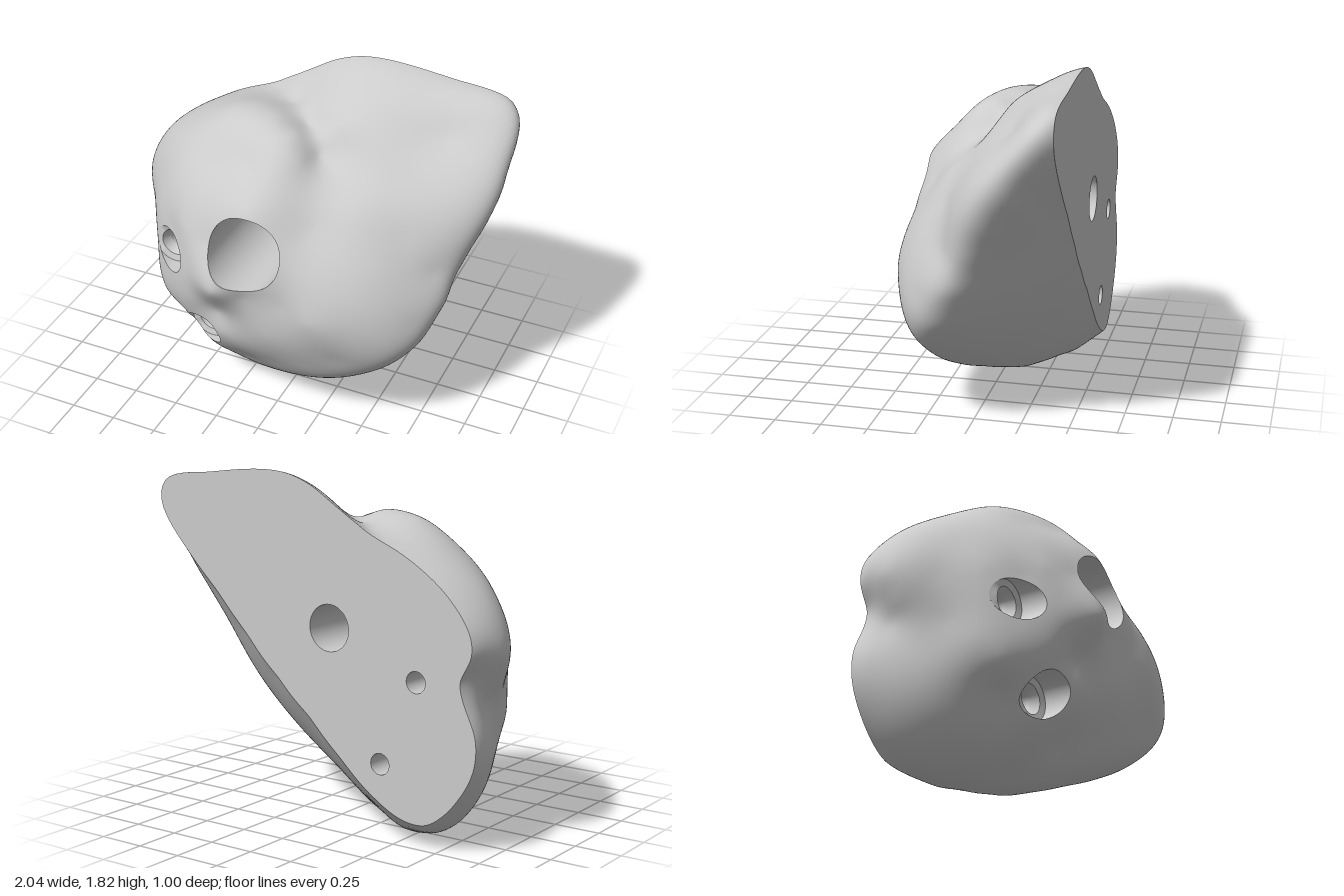
import * as THREE from 'three';

const BACK = -0.5;
const CENTRE = [-0.15, 1.0, BACK];

// Outline of the flat back face (x, y)
const backOutline = [
  [0.985, 1.57], [0.998, 1.68], [0.945, 1.75], [0.68, 1.785], [0.4, 1.815], [0.14, 1.805], [-0.01, 1.75],
  [-0.1, 1.695], [-0.18, 1.645], [-0.28, 1.585], [-0.41, 1.515], [-0.66, 1.39], [-0.85, 1.23], [-0.94, 1.08],
  [-0.94, 0.99], [-0.88, 0.875], [-0.9, 0.775], [-0.965, 0.63], [-0.96, 0.45], [-0.88, 0.3], [-0.78, 0.19],
  [-0.68, 0.13], [-0.54, 0.14], [-0.38, 0.225], [-0.18, 0.39], [0.02, 0.58], [0.22, 0.76], [0.42, 0.96],
  [0.62, 1.17], [0.82, 1.37],
];

// Widest line round the stone (x, y, z)
const girth = [
  [0.987, 1.47, -0.42], [0.965, 1.3, -0.31], [0.94, 1.15, -0.2], [0.905, 1.0, -0.07], [0.865, 0.82, 0.03],
  [0.77, 0.6, 0.1], [0.6, 0.42, 0.11], [0.4, 0.28, 0.08], [0.2, 0.18, 0.03], [0, 0.095, -0.03],
  [-0.2, 0.025, -0.13], [-0.34, 0.01, -0.2], [-0.36, 0.06, -0.01], [-0.44, 0.05, -0.36], [-0.5, 0.03, -0.2],
  [-0.7, 0.115, -0.2], [-0.85, 0.25, -0.25], [-0.95, 0.42, -0.35], [-0.97, 0.58, -0.4],
  [-0.91, 0.745, -0.32], [-0.95, 0.83, -0.25], [-1.0, 0.97, -0.3], [-0.97, 1.12, -0.3], [-0.85, 1.29, -0.25],
  [-0.65, 1.44, -0.2], [-0.4, 1.58, -0.15],
];

// Head lobe, snout and jaw on the right half
const lobe = [
  [-0.3, 1.55, -0.43], [-0.15, 1.565, -0.3], [0, 1.545, -0.15], [0.12, 1.46, -0.02], [-0.26, 1.597, -0.18],
  [-0.14, 1.605, -0.1], [0, 1.57, -0.01], [0.07, 1.49, 0.08], [-0.11, 1.27, 0.37], [-0.2, 1.45, 0.17],
  [-0.4, 1.4, 0.14], [-0.45, 1.25, 0.25], [-0.65, 1.3, 0.07], [-0.8, 1.15, 0], [-0.75, 1.0, 0.13],
  [-0.5, 1.05, 0.32], [-0.33, 1.05, 0.39], [-0.45, 0.88, 0.38], [-0.25, 0.83, 0.5], [-0.11, 0.8, 0.43],
  [-0.6, 0.97, 0.25], [-0.76, 0.84, 0.14], [-0.88, 0.95, -0.05], [-0.65, 0.71, 0.25], [-0.84, 0.71, -0.03],
  [-0.78, 0.6, 0.11], [-0.69, 0.5, 0.19], [-0.57, 0.46, 0.24], [-0.88, 0.61, -0.15], [-0.83, 0.48, -0.05],
  [-0.72, 0.39, 0.05], [-0.58, 0.36, 0.13], [-0.45, 0.62, 0.36], [-0.3, 0.6, 0.35], [-0.28, 0.47, 0.36],
  [-0.42, 0.25, 0.2], [-0.62, 0.25, 0.04], [-0.2, 0.22, 0.2],
];

// Broad smooth body on the left half
const body = [
  [0, 0.3, 0.28], [0.2, 0.4, 0.34], [0.4, 0.5, 0.36], [0, 0.55, 0.4], [0.1, 0.8, 0.42], [0.27, 0.75, 0.45],
  [0.45, 0.7, 0.41], [0.6, 0.65, 0.35], [0.75, 0.76, 0.23], [0.3, 1.0, 0.38], [0.1, 1.05, 0.4],
  [0.06, 1.32, 0.27], [0.2, 1.2, 0.27], [0.55, 1.05, 0.26], [0.8, 1.0, 0.08], [0.65, 1.2, 0.1],
  [0.4, 1.3, 0.15], [0.4, 1.55, -0.09], [0.2, 1.6, -0.12], [0.08, 1.63, -0.2], [-0.01, 1.67, -0.34],
  [0.62, 1.42, -0.03], [0.72, 1.6, -0.25], [0.25, 1.74, -0.31], [0.5, 1.72, -0.3],
];

// Bolt holes: each profile step below the rim is [radius, z]
const holes = [
  { name: 'largeBoltHole', x: -0.11, y: 1.05, steps: [[0.2, -0.1], [0.12, -0.1], [0.12, BACK]] },
  { name: 'upperBoltHole', x: -0.63, y: 0.84, steps: [[0.115, 0.19], [0.08, 0.18], [0.055, 0.13], [0.055, BACK]] },
  { name: 'lowerBoltHole', x: -0.42, y: 0.4, steps: [[0.115, 0.19], [0.08, 0.18], [0.055, 0.13], [0.055, BACK]] },
];

function solve(A, b) {
  const n = b.length;
  for (let c = 0; c < n; c++) {
    let p = c;
    for (let r = c + 1; r < n; r++) if (Math.abs(A[r][c]) > Math.abs(A[p][c])) p = r;
    [A[c], A[p]] = [A[p], A[c]];
    [b[c], b[p]] = [b[p], b[c]];
    for (let r = c + 1; r < n; r++) {
      const f = A[r][c] / A[c][c];
      for (let k = c; k < n; k++) A[r][k] -= f * A[c][k];
      b[r] -= f * b[c];
    }
  }
  for (let c = n - 1; c >= 0; c--) {
    for (let k = c + 1; k < n; k++) b[c] -= A[c][k] * b[k];
    b[c] /= A[c][c];
  }
  return b;
}

// Smooth radius over all directions; fitting 1/radius keeps flat flanks flat
function fitRadius(points) {
  const samples = points.map(([x, y, z = BACK]) => {
    const d = [x - CENTRE[0], y - CENTRE[1], z - CENTRE[2]];
    const r = Math.hypot(...d);
    return { d: d.map((v) => v / r), inv: 1 / r };
  });
  const kernel = (a, b) => {
    const q = (a[0] - b[0]) ** 2 + (a[1] - b[1]) ** 2 + (a[2] - b[2]) ** 2;
    return q < 1e-12 ? 0 : 0.5 * q * Math.log(q);
  };
  const n = samples.length;
  const A = samples.map((s, i) => [
    ...samples.map((t, j) => kernel(s.d, t.d) + (i === j ? 0.002 : 0)), 1, ...s.d]);
  for (let k = 0; k < 4; k++) A.push([...samples.map((s) => (k ? s.d[k - 1] : 1)), 0, 0, 0, 0]);
  const w = solve(A, [...samples.map((s) => s.inv), 0, 0, 0, 0]);
  return (d) => {
    let v = w[n] + w[n + 1] * d[0] + w[n + 2] * d[1] + w[n + 3] * d[2];
    for (let i = 0; i < n; i++) v += w[i] * kernel(d, samples[i].d);
    return 1 / Math.max(v, 0.6);
  };
}

function meshFrom(name, positions, index, material) {
  const g = new THREE.BufferGeometry();
  g.setAttribute('position', new THREE.Float32BufferAttribute(positions, 3));
  g.setIndex(index);
  g.computeVertexNormals();
  const mesh = new THREE.Mesh(g, material);
  mesh.name = name;
  return mesh;
}

export function createModel() {
  const group = new THREE.Group();
  group.name = 'climbingStone';
  const material = new THREE.MeshStandardMaterial({ color: 0xcccccc, roughness: 0.9 });
  const radius = fitRadius([...backOutline, ...girth, ...lobe, ...body]);

  // Height of the front surface above (x, y)
  const heightAt = (x, y) => {
    let lo = BACK, hi = 0.8;
    for (let i = 0; i < 20; i++) {
      const z = (lo + hi) / 2;
      const d = [x - CENTRE[0], y - CENTRE[1], z - CENTRE[2]];
      const r = Math.hypot(...d);
      if (r < radius(d.map((v) => v / r))) lo = z; else hi = z;
    }
    return lo;
  };

  // Rounded skin, from the front pole out to the back edge
  const RINGS = 110, SEG = 240;
  const pos = [], inHole = [], edge = [];
  for (let i = 0; i <= RINGS; i++) {
    const phi = (i / RINGS) * Math.PI / 2;
    for (let j = 0; j < SEG; j++) {
      const t = (j / SEG) * Math.PI * 2;
      const d = [Math.sin(phi) * Math.cos(t), Math.sin(phi) * Math.sin(t), i === RINGS ? 0 : Math.cos(phi)];
      const r = radius(d);
      const p = d.map((v, k) => CENTRE[k] + v * r);
      const hole = holes.find((h) => Math.hypot(p[0] - h.x, p[1] - h.y) < h.steps[0][0]);
      inHole.push(!!hole);
      if (hole) {
        // Pull the point out to the hole's rim
        const a = Math.atan2(p[1] - hole.y, p[0] - hole.x);
        p[0] = hole.x + hole.steps[0][0] * Math.cos(a);
        p[1] = hole.y + hole.steps[0][0] * Math.sin(a);
        p[2] = heightAt(p[0], p[1]);
      }
      pos.push(...p);
      if (i === RINGS) edge.push(new THREE.Vector2(-p[0], p[1]));
    }
  }
  const index = [];
  const addTri = (...t) => { if (!t.every((v) => inHole[v])) index.push(...t); };
  for (let i = 0; i < RINGS; i++) for (let j = 0; j < SEG; j++) {
    const k = (j + 1) % SEG;
    const a = i * SEG + j, b = a + SEG, c = (i + 1) * SEG + k, d = i * SEG + k;
    addTri(a, b, c);
    addTri(a, c, d);
  }
  group.add(meshFrom('stoneSkin', pos, index, material));

  // Flat back, drawn mirrored and then turned to face backwards
  const shape = new THREE.Shape(edge);
  for (const h of holes) {
    shape.holes.push(new THREE.Path().absarc(-h.x, h.y, h.steps.at(-1)[0], 0, Math.PI * 2, true));
  }
  const back = new THREE.Mesh(new THREE.ShapeGeometry(shape, 32).rotateY(Math.PI).translate(0, 0, BACK), material);
  back.name = 'flatBack';
  group.add(back);

  // Stepped hole walls; each step has its own points so its edges stay sharp
  const N = 64;
  for (const h of holes) {
    const ring = (r, z) => Array.from({ length: N }, (_, j) => {
      const t = (j / N) * Math.PI * 2;
      const x = h.x + r * Math.cos(t), y = h.y + r * Math.sin(t);
      return [x, y, z ?? heightAt(x, y)];
    });
    const rim = ring(h.steps[0][0]);
    const rings = [rim, ...h.steps.map(([r, z]) => ring(r, z))];
    // The floor never rises above the skin
    rings[1].forEach((p, j) => { p[2] = Math.min(p[2], rim[j][2]); });
    const wall = [], faces = [];
    for (let s = 0; s + 1 < rings.length; s++) {
      const o = wall.length / 3;
      wall.push(...rings[s].flat(), ...rings[s + 1].flat());
      for (let j = 0; j < N; j++) {
        const a = o + j, d = o + ((j + 1) % N);
        faces.push(a, d, d + N, a, d + N, a + N);
      }
    }
    group.add(meshFrom(h.name, wall, faces, material));
  }
  return group;
}
